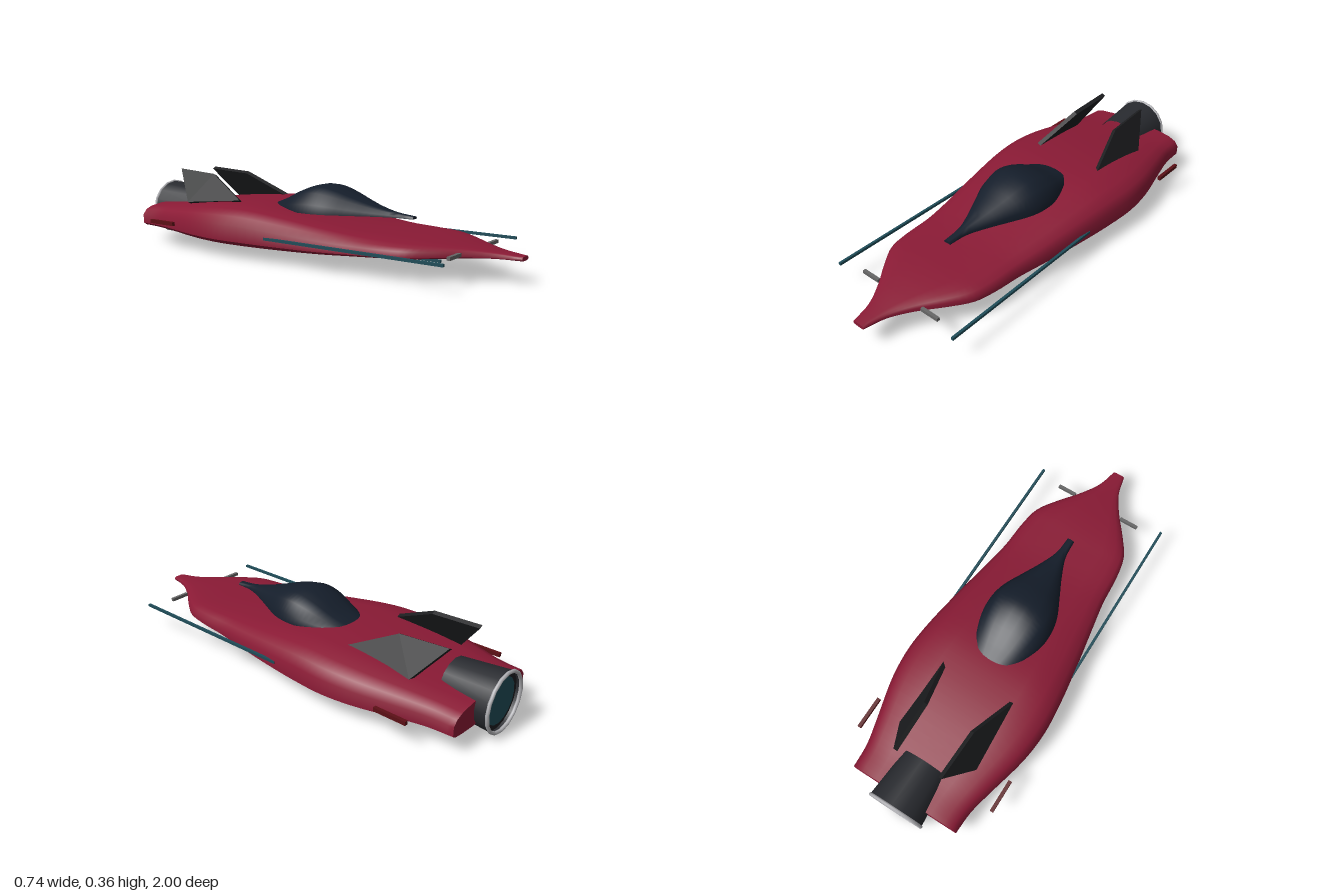
import * as THREE from 'three';
import { toCreasedNormals } from 'three/addons/utils/BufferGeometryUtils.js';

const mat = (color, side = THREE.FrontSide) => new THREE.MeshStandardMaterial({ color, side, roughness: 0.6 });
const red = mat(0x8a1a35), darkRed = mat(0x5c1016), glass = mat(0x151e2b), black = mat(0x1c1d1f);
const engineGrey = mat(0x282a2f, THREE.DoubleSide), teal = mat(0x1f4c58, THREE.DoubleSide);
const metal = mat(0xb4b4b8), grey = mat(0x666666);

// Right half of a cross-section, from bottom to top: [share of half width, share of height]
const HULL_HALF = [[0.46, 0], [0.74, 0.05], [0.93, 0.11], [1, 0.21], [1, 0.58], [0.93, 0.79], [0.79, 0.92], [0.54, 1]];
const CANOPY_HALF = [[1, 0], [0.97, 0.33], [0.76, 0.75], [0.45, 0.93], [0.15, 1]];

// Skins a mirrored section along z; stations are [z, half width, bottom, top], back to front
function loft(half, stations, steps) {
  const ring = [...half, ...half.map(([x, y]) => [-x, y]).reverse()];
  const n = ring.length;
  const wide = new THREE.CatmullRomCurve3(stations.map(([z, w]) => new THREE.Vector3(w, 0, z)));
  const tall = new THREE.CatmullRomCurve3(stations.map(([z, , b, t]) => new THREE.Vector3(b, t, z)));
  const pos = [], index = [];
  for (let i = 0; i <= steps; i++) {
    const w = wide.getPoint(i / steps), h = tall.getPoint(i / steps);
    for (const [x, y] of ring) pos.push(x * w.x, h.x + (h.y - h.x) * y, w.z);
  }
  for (let i = 0; i < steps; i++) {
    for (let j = 0; j < n; j++) {
      const a = i * n + j, b = i * n + (j + 1) % n;
      index.push(a, b, a + n, b, b + n, a + n);
    }
  }
  // End caps
  for (let j = 1; j < n - 1; j++) {
    index.push(0, j + 1, j);
    index.push(steps * n, steps * n + j, steps * n + j + 1);
  }
  const geo = new THREE.BufferGeometry();
  geo.setAttribute('position', new THREE.Float32BufferAttribute(pos, 3));
  geo.setIndex(index);
  return toCreasedNormals(geo, 0.9);
}

export function createModel() {
  const group = new THREE.Group();
  const add = (name, geo, material, x = 0, y = 0, z = 0) => {
    const mesh = new THREE.Mesh(geo, material);
    mesh.name = name;
    mesh.position.set(x, y, z);
    group.add(mesh);
    return mesh;
  };

  // Flat, waisted hull with a needle nose
  add('hull', loft(HULL_HALF, [
    [-0.93, 0.27, 0.07, 0.185],
    [-0.82, 0.277, 0.067, 0.193],
    [-0.7, 0.305, 0.064, 0.207],
    [-0.5, 0.355, 0.057, 0.23],
    [-0.35, 0.37, 0.052, 0.24],
    [-0.2, 0.361, 0.05, 0.24],
    [0, 0.335, 0.053, 0.216],
    [0.2, 0.303, 0.06, 0.186],
    [0.35, 0.28, 0.07, 0.168],
    [0.5, 0.27, 0.082, 0.16],
    [0.6, 0.25, 0.089, 0.157],
    [0.7, 0.187, 0.094, 0.151],
    [0.8, 0.112, 0.099, 0.141],
    [0.9, 0.055, 0.102, 0.129],
    [1, 0.03, 0.102, 0.12],
  ], 56), red);

  // Teardrop canopy with a flat base
  add('canopy', loft(CANOPY_HALF, [
    [-0.22, 0.09, 0.218, 0.24],
    [-0.15, 0.125, 0.218, 0.268],
    [-0.05, 0.159, 0.218, 0.316],
    [0.04, 0.165, 0.218, 0.338],
    [0.12, 0.15, 0.218, 0.326],
    [0.22, 0.105, 0.218, 0.292],
    [0.32, 0.058, 0.218, 0.26],
    [0.41, 0.025, 0.218, 0.24],
    [0.5, 0.018, 0.218, 0.23],
  ], 32), glass);

  // Tail fins: swept plates leaning towards each other
  const finShape = new THREE.Shape([
    [-0.335, 0], [-0.665, -0.037], [-0.79, 0.136], [-0.555, 0.122],
  ].map(([z, v]) => new THREE.Vector2(z, v)));
  const finGeo = new THREE.ExtrudeGeometry(finShape, { depth: 0.02, bevelEnabled: false }).rotateY(-Math.PI / 2);
  for (const s of [-1, 1]) {
    const fin = add(s > 0 ? 'leftFin' : 'rightFin', finGeo, black, s * 0.177, 0.24, 0);
    fin.rotation.z = s * 0.49;
  }

  // Engine: open flared tube, glowing disc and bright rim
  const cy = 0.146;
  add('engineTube', new THREE.CylinderGeometry(0.114, 0.134, 0.235, 16, 1, true).rotateX(Math.PI / 2), engineGrey, 0, cy, -0.8725);
  add('engineRim', new THREE.TorusGeometry(0.132, 0.008, 6, 16), metal, 0, cy, -0.99);
  add('engineGlow', new THREE.CircleGeometry(0.105, 16).rotateY(Math.PI), teal, 0, cy, -0.975);
  add('engineCollar', new THREE.RingGeometry(0.1, 0.131, 16).rotateY(Math.PI), black, 0, cy, -0.97);

  // Rails, nose bars and tail strips on both sides
  for (const s of [-1, 1]) {
    const side = s > 0 ? 'left' : 'right';
    add(side + 'Rail', new THREE.BoxGeometry(0.012, 0.012, 0.88), teal, s * 0.34, 0.12, 0.38);
    add(side + 'NoseBar', new THREE.BoxGeometry(0.095, 0.015, 0.015), grey, s * 0.177, 0.12, 0.78);
    add(side + 'TailStrip', new THREE.BoxGeometry(0.016, 0.018, 0.155), darkRed, s * 0.355, 0.13, -0.695);
  }
  add('bellyRail', new THREE.BoxGeometry(0.012, 0.012, 1.18), teal, 0, 0.05, 0.04);

  return group;
}
